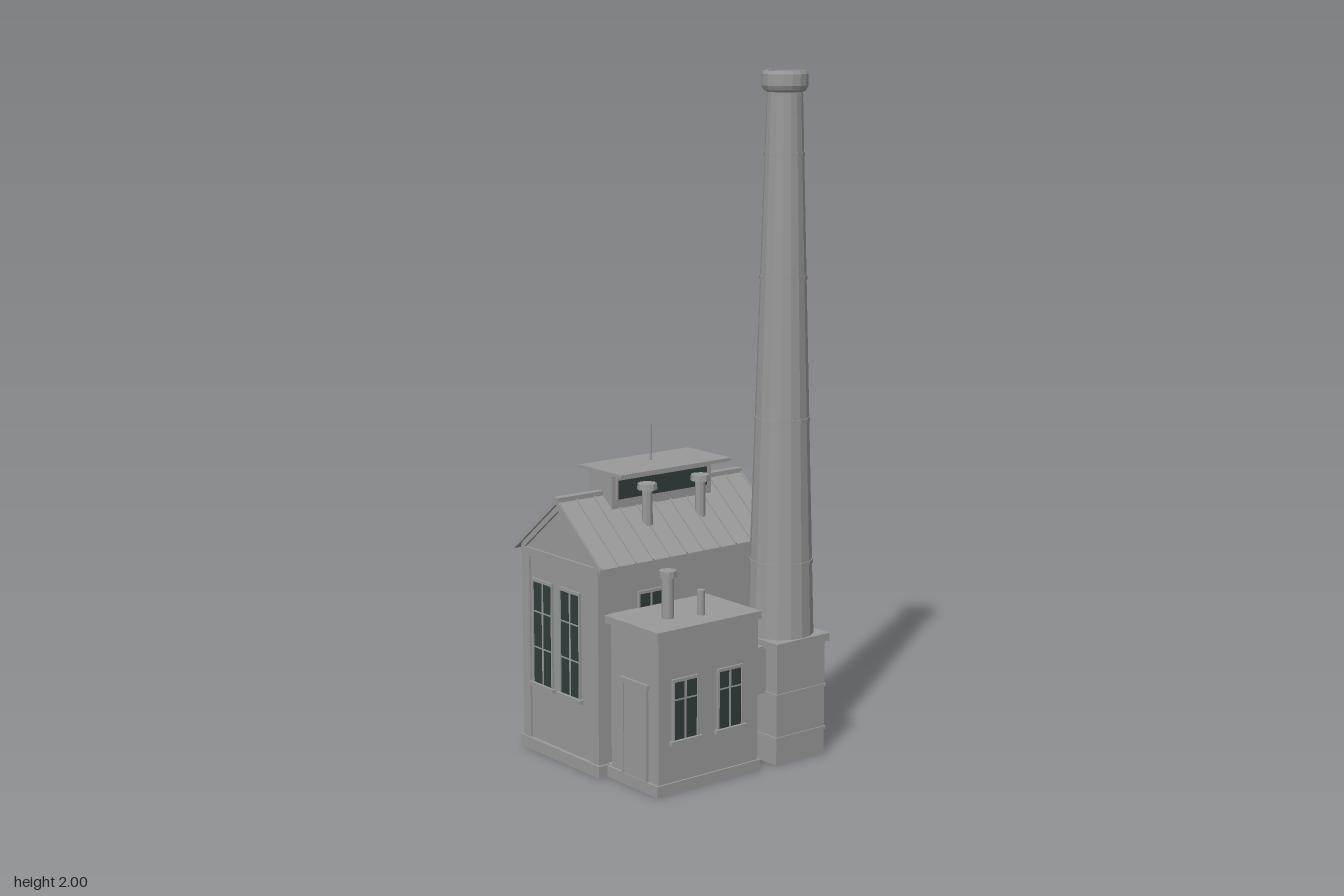
import * as THREE from 'three';

const grey = new THREE.MeshStandardMaterial({ color: 0x999999, flatShading: true });
grey.name = 'weatheredGrey';
const glass = new THREE.MeshStandardMaterial({ color: 0x2f3d3a });
glass.name = 'darkGlass';

const RIDGE_Z = -0.1, SLOPE = 0.8, RIDGE_Y = 0.787;
const roofY = z => RIDGE_Y - Math.abs(z - RIDGE_Z) * SLOPE;

export function createModel() {
  const root = new THREE.Group();
  root.name = 'boilerHouse';

  const add = (name, geo, mat = grey, parent = root) => {
    const m = new THREE.Mesh(geo, mat);
    m.name = name;
    parent.add(m);
    return m;
  };
  // Box given by its min and max on each axis
  const box = (name, x0, x1, y0, y1, z0, z1, mat, parent) => {
    const m = add(name, new THREE.BoxGeometry(x1 - x0, y1 - y0, z1 - z0), mat, parent);
    m.position.set((x0 + x1) / 2, (y0 + y1) / 2, (z0 + z1) / 2);
    return m;
  };
  // Upright pipe
  const pipe = (name, x, z, y0, y1, r, sides = 8, r1 = r) => {
    const m = add(name, new THREE.CylinderGeometry(r1, r, y1 - y0, sides));
    m.position.set(x, (y0 + y1) / 2, z);
    return m;
  };
  // Cross-section in (z, y) swept along x
  const sweepX = (name, pts, x0, x1) => {
    const shape = new THREE.Shape(pts.map(p => new THREE.Vector2(p[0], p[1])));
    const geo = new THREE.ExtrudeGeometry(shape, { depth: x1 - x0, bevelEnabled: false });
    geo.rotateY(-Math.PI / 2).translate(x1, 0, 0);
    return add(name, geo);
  };
  // Chevron following the roof pitch
  const chevron = (name, half, drop, thick, x0, x1) => {
    const e = RIDGE_Y - half * SLOPE - drop, t = RIDGE_Y - drop;
    return sweepX(name, [[RIDGE_Z - half, e - thick], [RIDGE_Z, t - thick], [RIDGE_Z + half, e - thick],
      [RIDGE_Z + half, e], [RIDGE_Z, t], [RIDGE_Z - half, e]], x0, x1);
  };
  // Window facing +z, turned by ry; y is its sill height
  const windowUnit = (name, x, y, z, w, h, ry = 0, cols = 2, rows = [0.68], sill = true) => {
    const g = new THREE.Group();
    g.name = name;
    g.position.set(x, y, z);
    g.rotation.y = ry;
    root.add(g);
    const hw = w / 2, f = 0.006;
    box('pane', -hw, hw, 0, h, -0.002, 0.003, glass, g);
    for (const s of [-1, 1]) box('jamb', s * hw - f / 2, s * hw + f / 2, 0, h, 0, 0.007, grey, g);
    box('head', -hw - f / 2, hw + f / 2, h - f / 2, h + f, 0, 0.007, grey, g);
    if (sill) box('sill', -hw - 0.012, hw + 0.012, -0.012, 0, 0, 0.013, grey, g);
    for (let i = 1; i < cols; i++) {
      const c = -hw + w * i / cols;
      box('mullion', c - 0.003, c + 0.003, 0, h, 0, 0.005, grey, g);
    }
    for (const r of rows) box('transom', -hw, hw, h * r - 0.002, h * r + 0.002, 0, 0.005, grey, g);
    return g;
  };

  // Main hall
  const X0 = -0.333, X1 = 0.327, Z0 = -0.28, Z1 = 0.08;
  const wallTop = z => roofY(z) - 0.016;
  sweepX('hallWalls', [[Z0, 0], [Z0, wallTop(Z0)], [RIDGE_Z, wallTop(RIDGE_Z)], [Z1, wallTop(Z1)], [Z1, 0]].reverse(), X0, X1);
  box('hallPlinth', X0 - 0.012, X1 + 0.012, 0, 0.035, Z0 - 0.014, Z1 + 0.014);
  for (const [xa, xb] of [[X0 - 0.006, X0 + 0.03], [X1 - 0.03, X1 + 0.006]])
    for (const [za, zb] of [[Z0 - 0.006, Z0 + 0.03], [Z1 - 0.03, Z1 + 0.006]])
      box('cornerPilaster', xa, xb, 0.03, 0.61, za, zb);
  box('cornice', X0 - 0.008, X1 + 0.008, 0.59, 0.615, Z0 - 0.008, Z1 + 0.008);
  chevron('rakeBoard', 0.185, 0.014, 0.022, X0 - 0.008, X1 + 0.008);

  // Roof with standing seams
  chevron('roof', 0.211, 0, 0.016, -0.349, 0.343);
  box('ridgeCap', -0.349, 0.343, RIDGE_Y - 0.014, RIDGE_Y + 0.004, -0.113, -0.088);
  const pitch = Math.atan(SLOPE), run = 0.2 / Math.cos(pitch);
  for (let i = 0; i <= 11; i++) for (const s of [-1, 1]) {
    const seam = add('roofSeam', new THREE.BoxGeometry(0.005, 0.006, run));
    const z = RIDGE_Z + s * 0.11;
    seam.position.set(-0.344 + i * 0.062, roofY(z), z);
    seam.rotation.x = s * pitch;
  }

  // Roof lantern
  box('lanternBody', -0.188, 0.183, 0.7, 0.85, -0.155, -0.045);
  box('lanternRoof', -0.208, 0.203, 0.848, 0.858, -0.178, 0.025).name = 'lanternRoof';
  windowUnit('lanternFrontWindow', -0.002, 0.77, -0.045, 0.34, 0.06, 0, 1, [], false);
  windowUnit('lanternBackWindow', -0.002, 0.77, -0.155, 0.34, 0.06, Math.PI, 1, [], false);
  pipe('lightningRod', -0.003, RIDGE_Z, 0.855, 0.967, 0.0025, 6);

  // Roof vents
  for (const x of [-0.097, 0.102]) {
    pipe('ventPipe', x, 0.004, 0.69, 0.805, 0.016);
    pipe('ventCap', x, 0.004, 0.8, 0.818, 0.03, 8, 0.028);
  }

  // Hall windows
  for (const z of [-0.053, -0.188]) {
    windowUnit('rightEndWindow', X1, 0.21, z, 0.095, 0.31, Math.PI / 2, 2, [0.35, 0.7]);
    windowUnit('leftEndWindow', X0, 0.21, z, 0.095, 0.31, -Math.PI / 2, 2, [0.35, 0.7]);
  }
  for (const s of [-1, 1])
    windowUnit('backWindow', -0.003 + s * 0.227, 0.21, Z0, 0.115, 0.32, Math.PI, 3, [0.35, 0.7]);
  windowUnit('frontWindow', -0.145, 0.21, Z1, 0.09, 0.31, 0, 2, [0.35, 0.7]);

  // Double door at the back
  box('doorLeaves', -0.148, 0.143, 0.03, 0.415, Z0 - 0.006, Z0);
  for (const x of [-0.157, 0.148]) box('doorJamb', x - 0.008, x + 0.008, 0.03, 0.425, Z0 - 0.014, Z0);
  box('doorLintel', -0.172, 0.167, 0.415, 0.437, Z0 - 0.016, Z0);
  for (let i = 1; i < 8; i++) {
    const x = -0.148 + i * 0.0364;
    box('doorBatten', x - 0.002, x + 0.002, 0.03, 0.415, Z0 - 0.009, Z0);
  }
  for (const y of [0.1, 0.34]) box('doorRail', -0.145, 0.14, y, y + 0.012, Z0 - 0.01, Z0);
  box('doorStep', -0.178, 0.173, 0, 0.02, -0.34, Z0);

  // Pipes on the right end wall
  for (const z of [-0.113, -0.22]) {
    pipe('wallPipe', 0.336, z, 0.03, 0.59, 0.01);
    for (const y of [0.1, 0.28, 0.54]) pipe('pipeCollar', 0.336, z, y, y + 0.012, 0.013);
  }
  const link = add('crossPipe', new THREE.CylinderGeometry(0.008, 0.008, 0.107, 8));
  link.rotation.x = Math.PI / 2;
  link.position.set(0.336, 0.41, -0.1665);

  // Annex
  box('annexWalls', -0.307, 0.057, 0, 0.465, 0.105, 0.321);
  box('annexPlinth', -0.315, 0.063, 0, 0.033, 0.08, 0.327);
  box('annexRoof', -0.315, 0.064, 0.455, 0.477, 0.08, 0.328);
  for (const x of [-0.213, -0.05]) windowUnit('annexWindow', x, 0.155, 0.321, 0.088, 0.172);
  box('annexDoor', -0.312, -0.305, 0.033, 0.3, 0.17, 0.265);
  for (const z of [0.165, 0.27]) box('annexDoorJamb', -0.315, -0.305, 0.033, 0.31, z - 0.005, z + 0.005);
  box('annexDoorLintel', -0.316, -0.305, 0.3, 0.315, 0.155, 0.28);
  pipe('annexFlue', -0.191, 0.217, 0.47, 0.6, 0.018, 12);
  pipe('annexFlueCap', -0.191, 0.217, 0.595, 0.615, 0.025, 12);
  pipe('annexVent', -0.097, 0.25, 0.47, 0.55, 0.012, 10);

  // Chimney base and flue duct
  const CX = 0.217, CZ = 0.235;
  const block = (name, half, y0, y1) => box(name, CX - half, CX + half, y0, y1, CZ - half, CZ + half);
  block('chimneyBase', 0.093, 0, 0.35);
  block('chimneyBaseCap', 0.103, 0.346, 0.369);
  for (const y of [0.075, 0.205]) block('chimneyBaseBand', 0.097, y, y + 0.01);
  box('flueDuct', 0.05, 0.135, 0.21, 0.352, 0.187, 0.28);

  // Chimney stack, hollow at the top
  const stackR = y => 0.098 - (y - 0.37) / 1.57 * 0.047;
  const profile = [[0.098, 0.365], [0.051, 1.94], [0.06, 1.945], [0.066, 1.958], [0.066, 1.99], [0.061, 2], [0.05, 2], [0.05, 1.975]];
  const stack = add('chimneyStack', new THREE.LatheGeometry(profile.map(p => new THREE.Vector2(p[0], p[1])), 16));
  stack.position.set(CX, 0, CZ);
  const mouth = add('chimneyMouth', new THREE.CircleGeometry(0.051, 16), glass);
  mouth.rotation.x = -Math.PI / 2;
  mouth.position.set(CX, 1.985, CZ);
  for (const y of [0.58, 1.0, 1.41, 1.76])
    pipe('stackBand', CX, CZ, y, y + 0.012, stackR(y) + 0.002, 16);

  // Climbing rungs up the back of the stack
  for (let y = 0.46; y < 1.9; y += 0.1) {
    const z = CZ - stackR(y);
    box('rung', CX - 0.012, CX + 0.012, y, y + 0.006, z - 0.008, z + 0.006);
  }
  return root;
}
